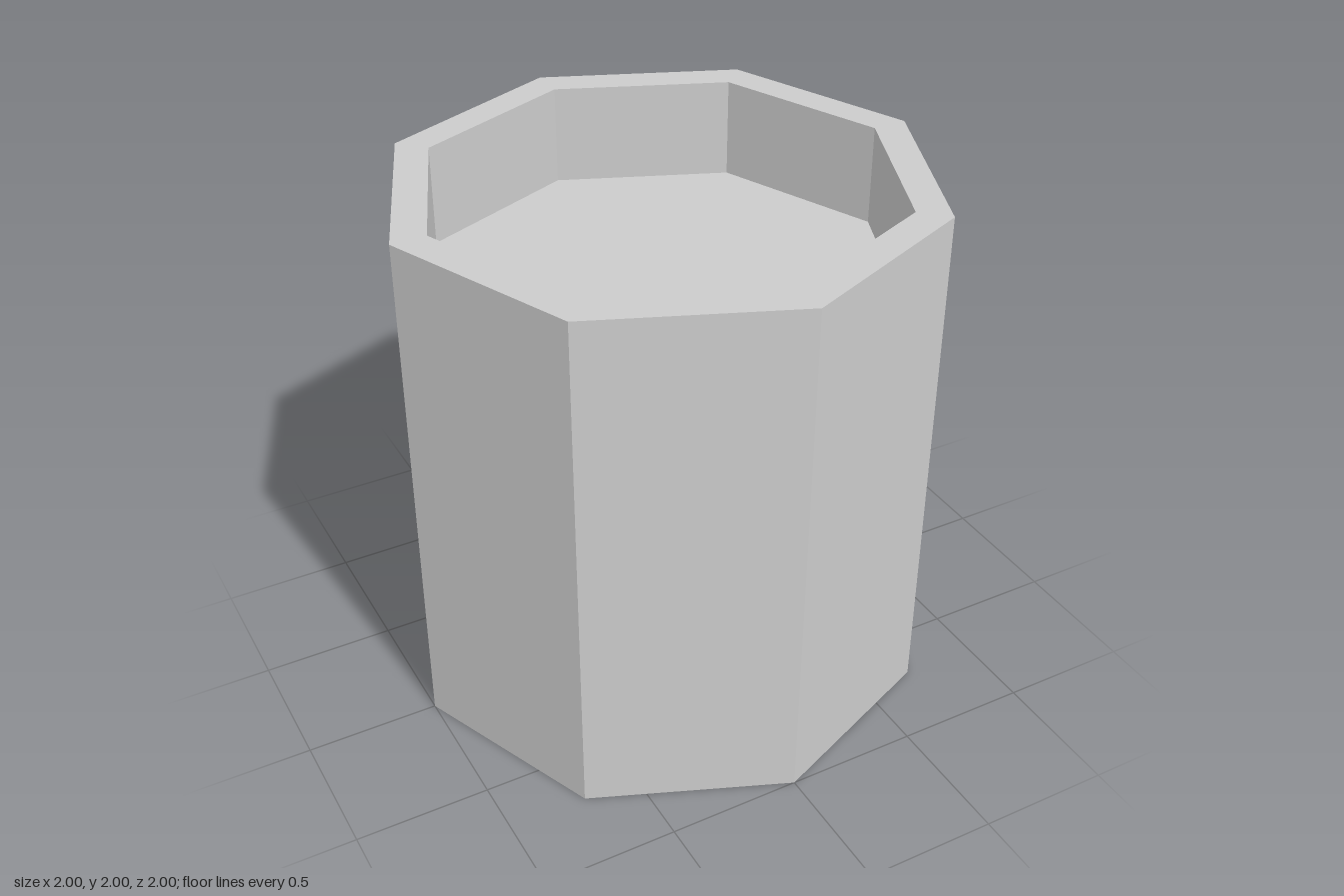
import * as THREE from 'three';

const SIDES = 8;
const OUTER = 1;
const INNER = 0.87;
const HEIGHT = 2;
const FLOOR = 1.62;

export function createModel() {
  const group = new THREE.Group();
  group.name = 'octagonalPot';
  const material = new THREE.MeshStandardMaterial({ color: 0xcccccc, flatShading: true });

  // Turns a profile of [radius, height] pairs into an eight-sided part
  const addPart = (name, profile) => {
    const points = profile.map(([r, y]) => new THREE.Vector2(r, y));
    const mesh = new THREE.Mesh(new THREE.LatheGeometry(points, SIDES), material);
    mesh.name = name;
    group.add(mesh);
  };

  // Closed base, outer wall, flat rim and inner wall
  addPart('potWall', [[0, 0], [OUTER, 0], [OUTER, HEIGHT], [INNER, HEIGHT], [INNER, FLOOR]]);

  // Flat surface sunk below the rim
  addPart('recessedFill', [[INNER, FLOOR], [0, FLOOR]]);

  return group;
}
